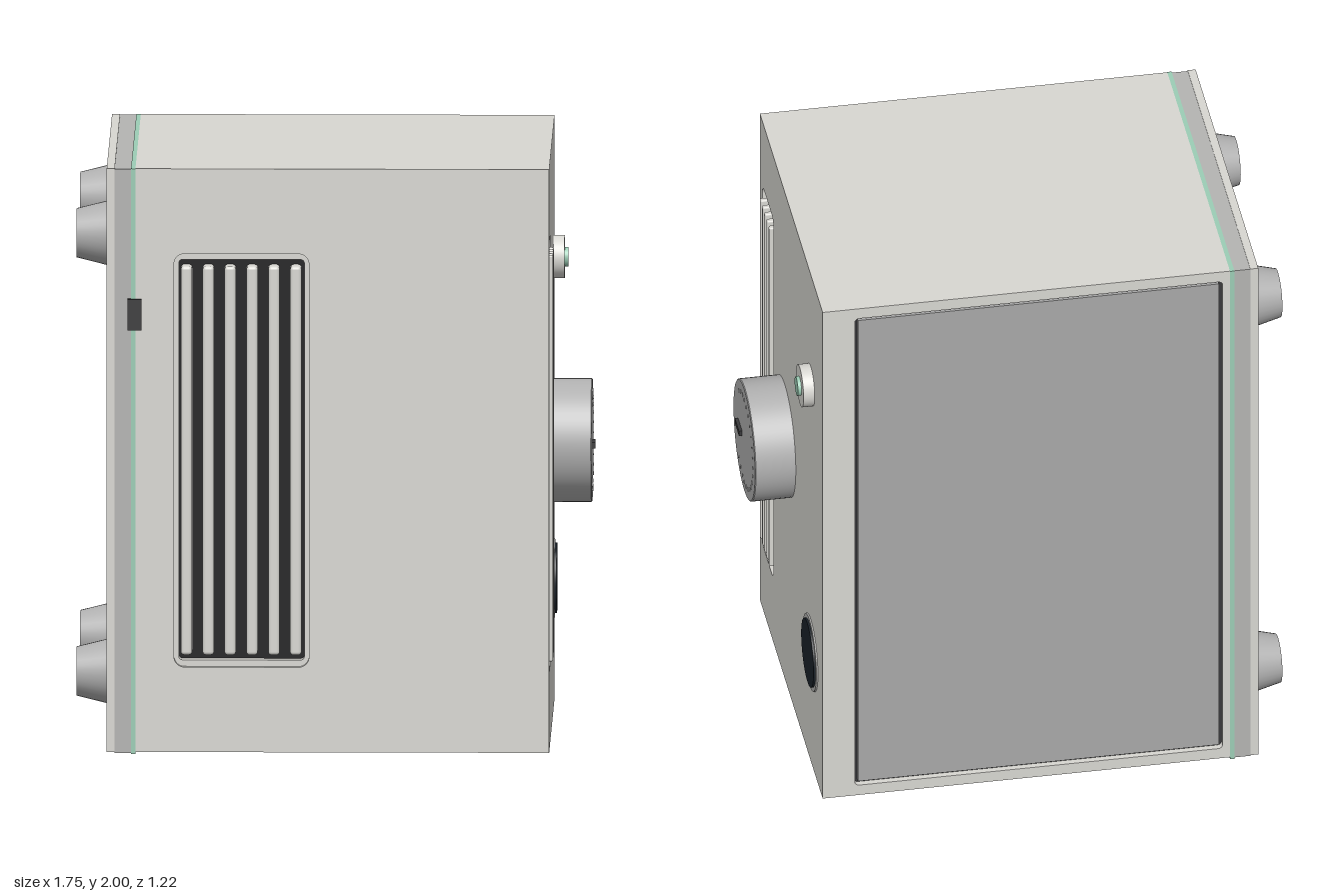
import * as THREE from 'three';
import { RoundedBoxGeometry } from 'three/addons/geometries/RoundedBoxGeometry.js';

const mat = (color) => new THREE.MeshStandardMaterial({ color });
const SHELL = mat(0xd8d7d2), BAND = mat(0xb4b4b2), GREY = mat(0xb0b0b0), PANEL = mat(0xa8a8a8);
const DARK = mat(0x1c1c1e), CHARCOAL = mat(0x3a3a3c), GREEN = mat(0x9ccdb5), SCREEN = mat(0x1a222a);

function add(parent, name, geometry, material, x = 0, y = 0, z = 0) {
  const mesh = new THREE.Mesh(geometry, material);
  mesh.name = name;
  mesh.position.set(x, y, z);
  parent.add(mesh);
  return mesh;
}

// Box given by its limits on each axis
function box(parent, name, material, [x0, x1], [y0, y1], [z0, z1]) {
  return add(parent, name, new THREE.BoxGeometry(x1 - x0, y1 - y0, z1 - z0), material,
    (x0 + x1) / 2, (y0 + y1) / 2, (z0 + z1) / 2);
}

// Rounded rectangle outline
function outline(Type, [x0, x1], [y0, y1], r) {
  const s = new Type();
  if (!r) {
    s.moveTo(x0, y0).lineTo(x1, y0).lineTo(x1, y1).lineTo(x0, y1).closePath();
    return s;
  }
  s.absarc(x1 - r, y0 + r, r, -Math.PI / 2, 0);
  s.absarc(x1 - r, y1 - r, r, 0, Math.PI / 2);
  s.absarc(x0 + r, y1 - r, r, Math.PI / 2, Math.PI);
  s.absarc(x0 + r, y0 + r, r, Math.PI, Math.PI * 1.5);
  s.closePath();
  return s;
}

// Plate with one opening; it reaches from z0 to z1
function plate(parent, name, material, outer, hole, z0, z1) {
  const shape = outline(THREE.Shape, ...outer);
  shape.holes.push(outline(THREE.Path, ...hole));
  const g = new THREE.ExtrudeGeometry(shape, { depth: z1 - z0, bevelEnabled: false, curveSegments: 8 });
  return add(parent, name, g, material, 0, 0, z0);
}

// Wall with a barred vent, facing +z, outer surface at z = face
function ventWall(name, xs, ys, vx, vy, face, bars, barWidth) {
  const g = new THREE.Group(), depth = 0.06, lip = 0.016, r = 0.035;
  g.name = name;
  plate(g, 'wall', SHELL, [xs, ys, 0], [vx, vy, r], face - depth, face);
  const inX = [vx[0] + lip, vx[1] - lip], inY = [vy[0] + lip + 0.006, vy[1] - lip - 0.006];
  plate(g, 'ventLip', SHELL, [vx, vy, r], [inX, inY, 0.012], face - depth, face - 0.018);
  box(g, 'ventBacking', DARK, vx, vy, [face - depth, face - depth + 0.004]);
  const h = inY[1] - inY[0] - 0.04;
  for (const x of bars) {
    add(g, 'ventBar', new RoundedBoxGeometry(barWidth, h, depth + 0.01, 3, barWidth * 0.3), SHELL,
      x, (vy[0] + vy[1]) / 2, face - depth / 2 + 0.007);
  }
  return g;
}

// Cylinder whose axis points along +x, starting at x
function dial(parent, name, material, x, y, z, r0, r1, length, sides = 48) {
  const g = new THREE.CylinderGeometry(r1, r0, length, sides).rotateZ(-Math.PI / 2);
  return add(parent, name, g, material, x + length / 2, y, z);
}

export function createModel() {
  const model = new THREE.Group();
  model.name = 'cabinet';
  const Y = [0.01, 2], Z = [-0.61, 0.59];

  // Cabinet core, front wall and side wall with vents
  box(model, 'core', SHELL, [-0.675, 0.66], Y, [-0.585, 0.53]);
  const range = (n, start, step) => Array.from({ length: n }, (_, i) => start + i * step);
  model.add(ventWall('frontWall', [-0.675, 0.66], Y, [-0.545, -0.09], [0.3, 1.71], 0.59,
    range(6, -0.503, 0.0737), 0.038));
  const side = ventWall('sideWall', [-0.59, 0.61], Y, [-0.545, -0.33], [0.27, 1.74], 0.72,
    range(5, -0.52, 0.0415), 0.02);
  side.rotation.y = Math.PI / 2;
  model.add(side);

  // Back frame with a nearly flush panel set in a narrow groove
  plate(model, 'backFrame', SHELL, [[-0.675, 0.66], Y, 0], [[-0.65, 0.61], [0.05, 1.96], 0.015], -0.61, -0.585);
  box(model, 'backGroove', CHARCOAL, [-0.65, 0.61], [0.05, 1.96], [-0.588, -0.584]);
  box(model, 'backPanel', PANEL, [-0.638, 0.598], [0.062, 1.948], [-0.604, -0.585]);

  // Seal, band and end plate of the base
  box(model, 'seal', GREEN, [-0.69, -0.675], [0.003, 2], [-0.612, 0.592]);
  box(model, 'baseBand', BAND, [-0.745, -0.69], [0.006, 1.998], [-0.608, 0.588]);
  box(model, 'basePlate', SHELL, [-0.772, -0.745], Y, Z);
  box(model, 'latch', CHARCOAL, [-0.702, -0.655], [1.45, 1.556], [0.58, 0.606]);

  // Four tapered feet
  for (const y of [0.255, 1.75]) {
    for (const z of [-0.408, 0.39]) dial(model, 'foot', GREY, -0.876, y, z, 0.083, 0.109, 0.104, 32);
  }

  // Large knob with pointer and scale ticks
  const knob = new THREE.Group();
  knob.name = 'knob';
  knob.position.set(0.72, 1.004, 0.113);
  model.add(knob);
  dial(knob, 'knobBody', GREY, 0, 0, 0, 0.209, 0.209, 0.136, 64);
  dial(knob, 'knobEdge', GREY, 0.136, 0, 0, 0.209, 0.206, 0.003, 64);
  box(knob, 'pointer', CHARCOAL, [0.135, 0.15], [-0.01, 0.01], [0.04, 0.12]);
  for (let i = 0; i < 21; i++) {
    const a = (i / 20 - 0.5) * Math.PI * 1.4;
    const tick = add(knob, 'tick', new THREE.BoxGeometry(0.003, 0.004, 0.014), GREY,
      0.14, Math.sin(a) * 0.168, -Math.cos(a) * 0.168);
    tick.rotation.x = a;
  }

  // Push button
  dial(model, 'buttonCollar', SHELL, 0.72, 1.552, -0.385, 0.073, 0.073, 0.038);
  dial(model, 'buttonCap', GREEN, 0.72, 1.552, -0.385, 0.033, 0.033, 0.05, 32);

  // Round display in a thin ring
  dial(model, 'displayRing', BAND, 0.72, 0.456, -0.385, 0.135, 0.133, 0.005);
  dial(model, 'displayScreen', SCREEN, 0.72, 0.456, -0.385, 0.119, 0.119, 0.012);

  return model;
}
